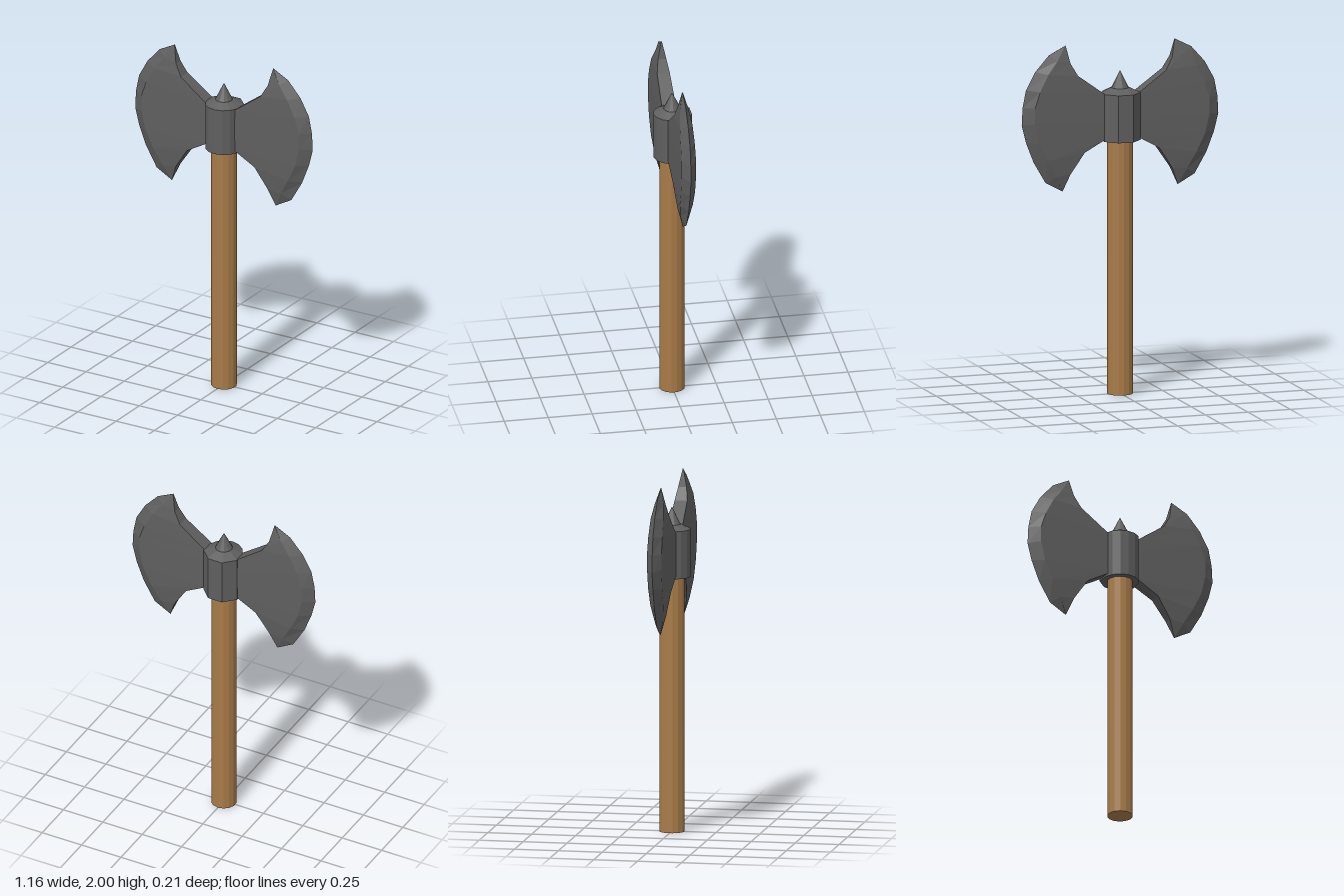
import * as THREE from 'three';

const steel = new THREE.MeshStandardMaterial({ color: 0x5f5f5f, flatShading: true });
const wood = new THREE.MeshStandardMaterial({ color: 0xa87b48, flatShading: true });

// Skins a stack of equal-length rings (counter-clockwise, bottom to top) and caps both ends.
function loft(rings) {
  const pos = [];
  const tri = (...pts) => pts.forEach((p) => pos.push(...p));
  const n = rings[0].length;
  for (let i = 0; i < rings.length - 1; i++) {
    for (let j = 0; j < n; j++) {
      const k = (j + 1) % n;
      const [a, b, c, d] = [rings[i][j], rings[i][k], rings[i + 1][k], rings[i + 1][j]];
      tri(a, b, c);
      tri(a, c, d);
    }
  }
  const first = rings[0], last = rings[rings.length - 1];
  for (let j = 1; j < n - 1; j++) {
    tri(first[0], first[j + 1], first[j]);
    tri(last[0], last[j], last[j + 1]);
  }
  const geo = new THREE.BufferGeometry();
  geo.setAttribute('position', new THREE.Float32BufferAttribute(pos, 3));
  geo.computeVertexNormals();
  return geo;
}

// Blade sections: cutting edge x,y / bevel x,y / back x,y / half thickness
const bladeRows = [
  [0.34, 1.17, 0.34, 1.17, 0.34, 1.17, 0.002],
  [0.44, 1.225, 0.385, 1.26, 0.30, 1.27, 0.025],
  [0.51, 1.345, 0.44, 1.355, 0.22, 1.39, 0.037],
  [0.555, 1.46, 0.49, 1.46, 0.095, 1.46, 0.04],
  [0.58, 1.56, 0.515, 1.57, 0.095, 1.55, 0.041],
  [0.575, 1.66, 0.515, 1.66, 0.095, 1.64, 0.041],
  [0.555, 1.76, 0.485, 1.75, 0.095, 1.71, 0.04],
  [0.50, 1.86, 0.435, 1.845, 0.26, 1.83, 0.036],
  [0.42, 1.95, 0.375, 1.92, 0.30, 1.90, 0.024],
  [0.322, 2.0, 0.322, 2.0, 0.322, 2.0, 0.002],
];

function bladeGeometry() {
  return loft(bladeRows.map(([ex, ey, vx, vy, bx, by, t]) => [
    [ex, ey, 0], [vx, vy, -t], [bx, by, -t], [bx, by, t], [vx, vy, t],
  ]));
}

// Collar: rounded front, four broad corners at the back
function collarGeometry() {
  const outline = [22.5, 67.5, 112.5, 157.5].map((a) => [a, 0.115]);
  for (let a = 195; a <= 345; a += 25) outline.push([a, 0.105]);
  const ring = (y, scale) => outline.map(([deg, r]) => {
    const a = THREE.MathUtils.degToRad(deg);
    return [r * scale * Math.cos(a), y, -r * scale * Math.sin(a)];
  });
  return loft([ring(1.445, 1), ring(1.715, 1), ring(1.742, 0.5)]);
}

export function createModel() {
  const model = new THREE.Group();
  model.name = 'doubleAxe';
  const add = (name, geo, mat, y = 0) => {
    const mesh = new THREE.Mesh(geo, mat);
    mesh.name = name;
    mesh.position.y = y;
    model.add(mesh);
    return mesh;
  };

  // Wooden shaft
  add('handle', new THREE.CylinderGeometry(0.072, 0.072, 1.5, 14), wood, 0.75);

  // Steel head
  add('collar', collarGeometry(), steel);
  add('topSpike', new THREE.ConeGeometry(0.055, 0.11, 12), steel, 1.785);
  const blade = bladeGeometry();
  add('leftBlade', blade, steel);
  add('rightBlade', blade, steel).rotation.y = Math.PI;

  return model;
}
